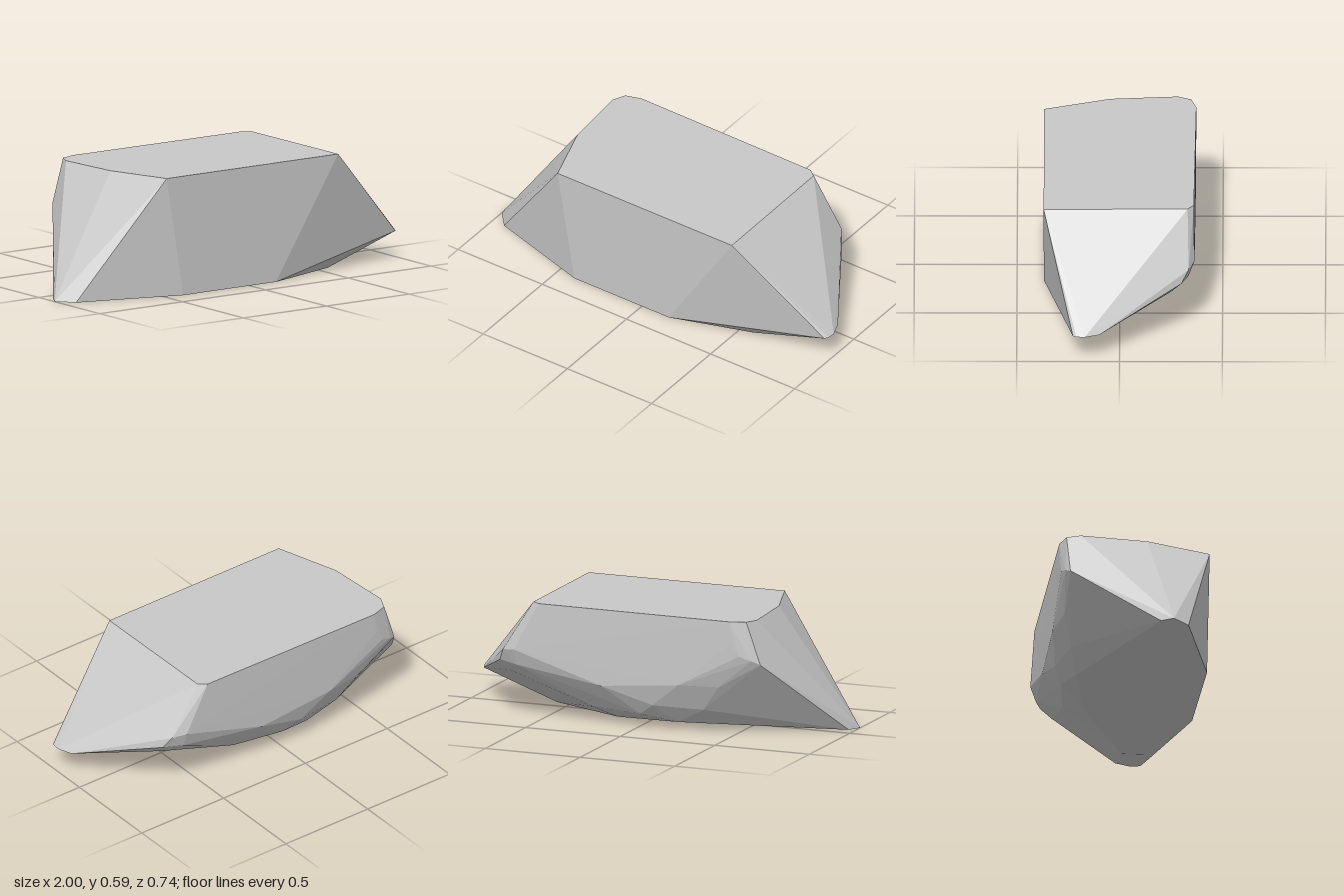
import * as THREE from 'three';
import { ConvexGeometry } from 'three/addons/geometries/ConvexGeometry.js';

// Faceted boulder with a flat top, flat front and chipped back
export function createModel() {
  const group = new THREE.Group();
  group.name = 'rock';
  const stone = new THREE.MeshStandardMaterial({ color: 0xc8c8c8 });
  stone.name = 'light grey stone';

  // rims of the flat top and of the flat base, as [x, z]
  const topRim = [[-0.5, 0.37], [0.535, 0.37], [0.53, -0.33], [0.49, -0.36],
    [-0.52, -0.37], [-0.6, -0.345], [-0.63, -0.28], [-0.605, 0.05]];
  const baseRim = [[-0.93, 0.21], [-0.4, 0.37], [0.16, 0.37], [0.57, 0.235],
    [0.58, 0.08], [-0.965, 0.07], [-1, 0.13]];

  // pointed tip on the left side
  const tip = [[0.985, 0.133, 0.227], [0.997, 0.133, 0.21], [1, 0.133, 0.17], [0.975, 0.133, 0.1]];

  // chipped corners of the back wall
  const backCorners = [[0.69, 0.34, -0.335], [0.72, 0.28, -0.3], [0.69, 0.22, -0.25],
    [0.62, 0.35, -0.363], [0.62, 0.27, -0.335], [-0.67, 0.38, -0.335],
    [-0.63, 0.4, -0.355], [-0.57, 0.42, -0.367], [-0.53, 0.48, -0.37]];

  // rounded undercut below the back wall
  const undercut = [[0.16, 0.21, -0.365], [-0.25, 0.25, -0.368], [-0.1, 0.13, -0.335],
    [-0.45, 0.25, -0.335], [-0.02, 0.073, -0.297], [0.25, 0.075, -0.25],
    [-0.2, 0.038, -0.25], [-0.35, 0.12, -0.29], [0.16, 0.012, -0.15]];

  const points = [
    ...topRim.map(([x, z]) => [x, 0.59, z]),
    ...baseRim.map(([x, z]) => [x, 0, z]),
    ...tip, ...backCorners, ...undercut,
  ].map((p) => new THREE.Vector3(...p));

  const boulder = new THREE.Mesh(new ConvexGeometry(points), stone);
  boulder.name = 'boulder';
  group.add(boulder);
  return group;
}
